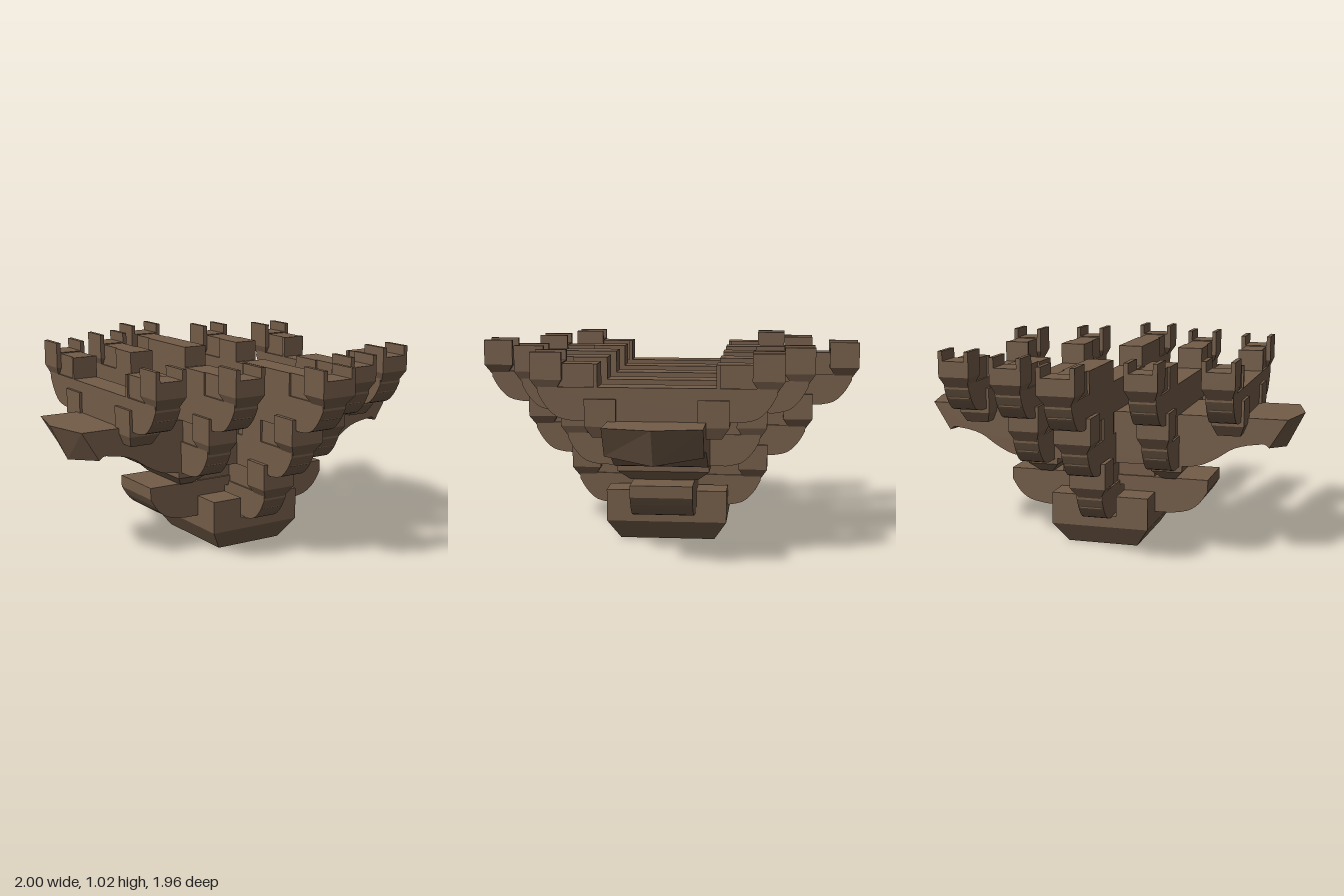
import * as THREE from 'three';

const wood = new THREE.MeshStandardMaterial({ color: 0x735c48 });
wood.name = 'brown wood';

const V = (x, y) => new THREE.Vector2(x, y);

function add(group, name, geo, x = 0, y = 0, z = 0) {
  const mesh = new THREE.Mesh(geo, wood);
  mesh.name = name;
  mesh.position.set(x, y, z);
  group.add(mesh);
  return mesh;
}

// box standing on y = y0
function block(group, name, w, h, d, x, y0, z) {
  return add(group, name, new THREE.BoxGeometry(w, h, d), x, y0 + h / 2, z);
}

// box whose underside is narrower by inset on every side
function taper(group, name, w, h, d, insetX, insetZ, x, y0, z) {
  const geo = new THREE.BoxGeometry(w, h, d).toNonIndexed();
  const p = geo.attributes.position;
  for (let i = 0; i < p.count; i++) {
    if (p.getY(i) < 0) {
      p.setX(i, p.getX(i) - Math.sign(p.getX(i)) * insetX);
      p.setZ(i, p.getZ(i) - Math.sign(p.getZ(i)) * insetZ);
    }
  }
  geo.computeVertexNormals();
  return add(group, name, geo, x, y0 + h / 2, z);
}

// closed profile extruded symmetrically about its own plane
function slab(points, width, steps = 1) {
  const geo = new THREE.ExtrudeGeometry(new THREE.Shape(points), { depth: width, bevelEnabled: false, steps });
  return geo.translate(0, 0, -width / 2);
}

// half outline mirrored to a full profile, listed from the bottom centre outwards and up
function mirrored(half) {
  return [...half, ...half.slice().reverse().map(p => V(-p.x, p.y))];
}

// rounded underside of a bracket arm tip
function tipCurve(tip, y0) {
  const pts = [V(tip - 0.2, y0), V(tip - 0.125, y0 + 0.018), V(tip - 0.07, y0 + 0.07), V(tip - 0.035, y0 + 0.13)];
  return new THREE.SplineCurve(pts).getPoints(9);
}

// forked bearing block: tapered foot, square body and two side prongs
function bearing(group, x, y0, z, w) {
  taper(group, 'bearingFoot', w, 0.055, 0.15, w / 2 - 0.058, 0.035, x, y0, z);
  block(group, 'bearingBody', w, 0.08, 0.15, x, y0 + 0.055, z);
  for (const s of [-1, 1]) {
    block(group, 'bearingProng', 0.022, 0.055, 0.15, x + s * (w / 2 - 0.011), y0 + 0.13, z);
  }
}

// front to back arm of one tier, with a bearing at both tips
function crossArm(parent, x, y0, tip, w, middleTop) {
  const g = new THREE.Group();
  g.name = 'bracketArm';
  parent.add(g);
  const mid = Math.min(0.28, tip - 0.15);
  const curve = tipCurve(tip, y0);
  // wide lower half
  const lower = slab(mirrored([...curve, V(tip - 0.035, y0 + 0.16)]), 0.132).rotateY(-Math.PI / 2);
  add(g, 'armLower', lower, x);
  // slimmer upper half, dipped in the middle
  const upper = slab(mirrored([V(tip - 0.06, y0 + 0.08), V(tip - 0.06, y0 + 0.27),
    V(mid, y0 + 0.27), V(mid, middleTop)]), 0.112).rotateY(-Math.PI / 2);
  add(g, 'armUpper', upper, x);
  // full width shoulders beside the dip
  const len = Math.max(0, tip - 0.3 - mid);
  for (const s of [-1, 1]) {
    if (len > 0.01) block(g, 'armShoulder', 0.132, 0.115, len, x, y0 + 0.155, s * (mid + len / 2));
    bearing(g, x, y0 + 0.14, s * (tip - 0.075), w);
  }
}

export function createModel() {
  const model = new THREE.Group();
  model.name = 'bracketSet';

  // base block with a cross-shaped slot between four corner posts
  const base = new THREE.Group();
  base.name = 'baseBlock';
  model.add(base);
  taper(base, 'baseFoot', 0.51, 0.105, 0.62, 0.07, 0.065, 0, 0, 0);
  block(base, 'baseBody', 0.51, 0.06, 0.62, 0, 0.105, 0);
  for (const sx of [-1, 1]) for (const sz of [-1, 1]) {
    block(base, 'cornerPost', 0.165, 0.105, 0.155, sx * 0.1725, 0.165, sz * 0.2325);
  }

  // lower side arm, notched underneath for the crossing arm
  const side = new THREE.SplineCurve([V(0.34, 0.165), V(0.43, 0.183), V(0.49, 0.225), V(0.533, 0.29)]).getPoints(9);
  add(model, 'lowerSideArm', slab(mirrored([V(0.088, 0.3), V(0.088, 0.165), ...side, V(0.533, 0.35)]), 0.31));
  block(model, 'lowerSideArmCentre', 0.5, 0.09, 0.29, 0, 0.345, 0);
  for (const s of [-1, 1]) {
    taper(model, 'sideBearingFoot', 0.16, 0.05, 0.46, 0.045, 0.06, s * 0.333, 0.35, 0);
    block(model, 'sideBearingBody', 0.16, 0.04, 0.46, s * 0.333, 0.4, 0);
  }

  // main beam with scalloped underside and pointed ends
  const scallop = new THREE.SplineCurve([V(0.4, 0.432), V(0.5, 0.443), V(0.59, 0.485), V(0.68, 0.542),
    V(0.79, 0.567), V(0.86, 0.553), V(0.91, 0.52)]).getPoints(20);
  const beam = slab(mirrored([...scallop, V(1, 0.7)]), 0.465, 2);
  const p = beam.attributes.position;
  for (let i = 0; i < p.count; i++) {
    const x = p.getX(i), y = p.getY(i);
    if (Math.abs(p.getZ(i)) > 0.1 && Math.abs(x) > 0.8) {
      const k = (Math.abs(x) - 0.8) / 0.11;
      p.setX(i, x - Math.sign(x) * 0.056 * Math.min(1, k));
      if (y < 0.6) p.setY(i, y + 0.034 * k);
    }
  }
  beam.computeVertexNormals();
  add(model, 'mainBeam', beam);

  // centre column: three tiers stepping outwards
  crossArm(model, 0, 0.16, 0.515, 0.184, 0.43);
  crossArm(model, 0, 0.43, 0.745, 0.184, 0.7);
  crossArm(model, 0, 0.7, 0.98, 0.184, 0.835);

  // paired columns on each side
  for (const s of [-1, 1]) {
    crossArm(model, s * 0.333, 0.43, 0.515, 0.16, 0.7);
    crossArm(model, s * 0.333, 0.7, 0.748, 0.16, 0.835);
    crossArm(model, s * 0.665, 0.7, 0.598, 0.16, 0.8);
    for (const z of [-1, 1]) bearing(model, s * 0.665, 0.62, z * 0.267, 0.16);
  }
  return model;
}
